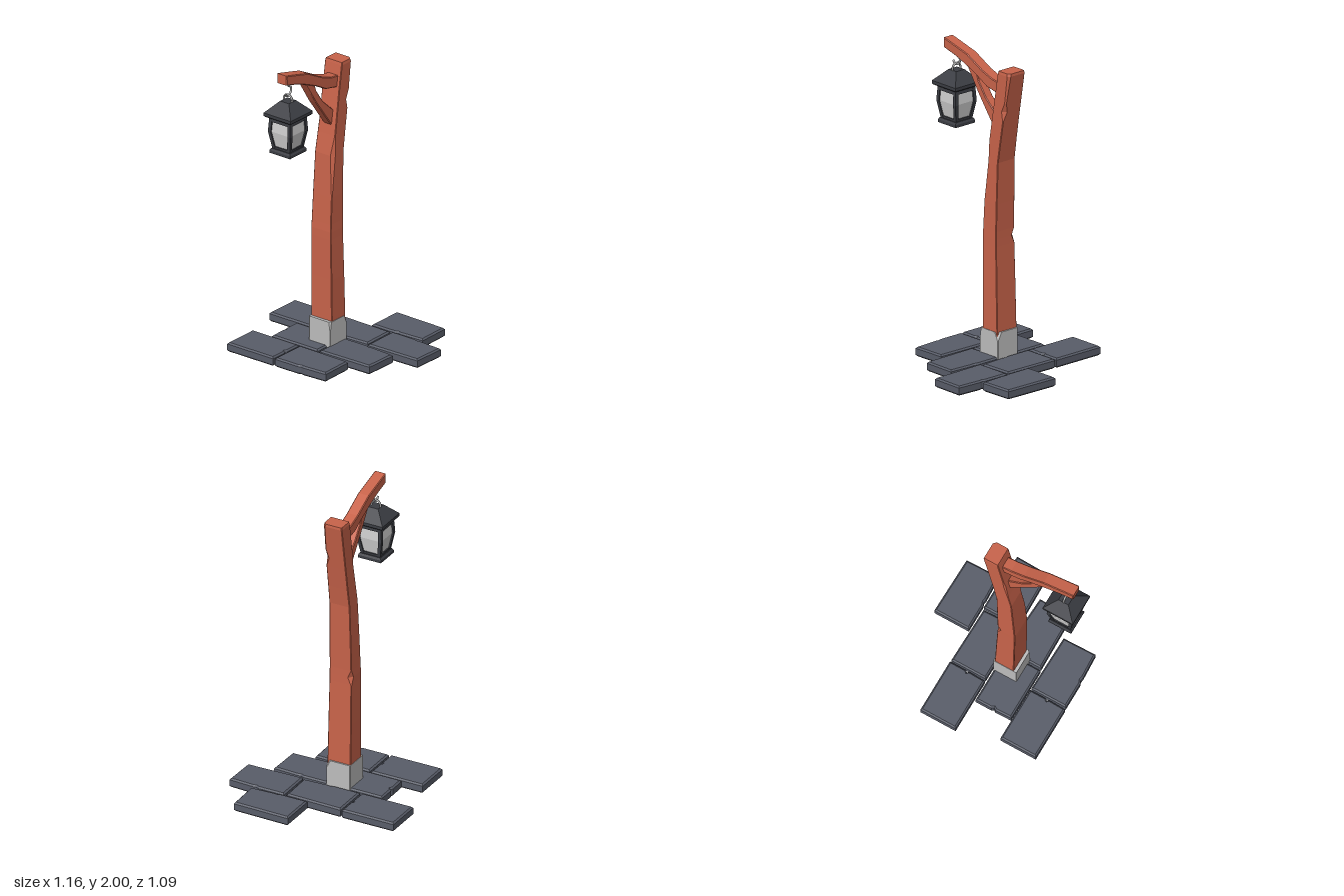
import * as THREE from 'three';

const mat = (name, color) => Object.assign(new THREE.MeshStandardMaterial({ color }), { name });
const wood = mat('wood', 0xc8634a);
const slate = mat('slate', 0x595d69);
const concrete = mat('concrete', 0xbdbdbd);
const iron = mat('darkIron', 0x3b3d43);
const glass = mat('glass', 0xd0d0d0);
const steel = mat('steel', 0xaaaaaa);

function add(parent, name, geometry, material) {
  const mesh = new THREE.Mesh(geometry, material);
  mesh.name = name;
  parent.add(mesh);
  return mesh;
}

// Flat-faced solid through convex rings, each counter-clockwise from above, bottom to top
function loft(rings) {
  const pos = [];
  const tri = (...pts) => pts.forEach((p) => pos.push(...p));
  const n = rings[0].length;
  for (let k = 0; k < rings.length - 1; k++) {
    for (let i = 0; i < n; i++) {
      const j = (i + 1) % n, lo = rings[k], hi = rings[k + 1];
      tri(lo[i], lo[j], hi[j]);
      tri(lo[i], hi[j], hi[i]);
    }
  }
  const top = rings[rings.length - 1], bottom = rings[0];
  for (let i = 1; i < n - 1; i++) {
    tri(top[0], top[i], top[i + 1]);
    tri(bottom[0], bottom[i + 1], bottom[i]);
  }
  const g = new THREE.BufferGeometry();
  g.setAttribute('position', new THREE.Float32BufferAttribute(pos, 3));
  g.computeVertexNormals();
  return g;
}

// Rectangle with chamfered corners: front +x, back +x, back -x, front -x
function section(y, x0, x1, zf, zb, [a, b, c, d]) {
  return [[x1 - a, y, zf], [x1, y, zf - a], [x1, y, zb + b], [x1 - b, y, zb],
    [x0 + c, y, zb], [x0, y, zb + c], [x0, y, zf - d], [x0 + d, y, zf]];
}

const square = (y, h, cx = 0, cz = 0) =>
  [[cx + h, y, cz + h], [cx + h, y, cz - h], [cx - h, y, cz - h], [cx - h, y, cz + h]];

// Solid of square levels [y, halfWidth]
const squares = (levels) => loft(levels.map(([y, h]) => square(y, h)));

// Bevelled slab from an outline of [u, v] points, inset so the bevel keeps the size
function slab(points, thickness, bevel) {
  const shape = new THREE.Shape(points.map(([u, v]) => new THREE.Vector2(u, v)));
  return new THREE.ExtrudeGeometry(shape, {
    depth: thickness - 2 * bevel, bevelEnabled: true, bevelSegments: 1,
    bevelSize: bevel, bevelThickness: bevel, bevelOffset: -bevel,
  }).translate(0, 0, bevel);
}

// Side outline in (z, y), spanning x0 to x1
const beam = (points, x0, x1) =>
  slab(points, x1 - x0, 0.005).rotateY(-Math.PI / 2).translate(x1, 0, 0);

function createPaving(parent) {
  const wide = [[0, 0], [0.385, 0.008], [0.39, 0.232], [0.22, 0.241], [0.2, 0.237], [0.18, 0.245], [0, 0.245]];
  const narrow = [[0, 0], [0.365, 0], [0.365, 0.112], [0.355, 0.125], [0.365, 0.14], [0.362, 0.25], [0, 0.25]];
  // [outline, x, z, flip x, flip z]
  const tiles = [
    [wide, 0.02, -0.545, 0, 0], [narrow, -0.585, -0.295, 0, 0],
    [wide, -0.21, -0.292, 0, 0], [wide, 0.19, -0.292, 0, 1],
    [narrow, -0.358, -0.033, 1, 0], [wide, 0.02, -0.032, 0, 1],
    [narrow, -0.5, 0.225, 0, 0], [wide, -0.125, 0.227, 0, 0],
  ];
  const paving = new THREE.Group();
  paving.name = 'paving';
  parent.add(paving);
  for (const [outline, x, z, fx, fz] of tiles) {
    const w = outline === wide ? 0.39 : 0.365, d = outline === wide ? 0.245 : 0.25;
    const pts = outline.map(([u, v]) => [x + (fx ? w - u : u), -(z + (fz ? d - v : v))]);
    add(paving, 'pavingStone', slab(pts, 0.062, 0.01).rotateX(-Math.PI / 2), slate);
  }
}

function createLantern() {
  const lantern = new THREE.Group();
  lantern.name = 'lantern';
  lantern.position.set(-0.053, 0, 0.434);
  add(lantern, 'lanternRoof', squares([[1.698, 0.1], [1.705, 0.107], [1.725, 0.107], [1.8, 0.035]]), iron);
  add(lantern, 'lanternTopRim', squares([[1.668, 0.083], [1.7, 0.08]]), iron);
  add(lantern, 'lanternBottomRim', squares([[1.48, 0.066], [1.502, 0.07]]), iron);
  add(lantern, 'lanternBase', squares([[1.455, 0.081], [1.473, 0.081], [1.486, 0.073]]), iron);
  add(lantern, 'lanternGlass', squares([[1.495, 0.061], [1.6, 0.079], [1.68, 0.074]]), glass);
  // Bent corner bars
  for (const sx of [-1, 1]) {
    for (const sz of [-1, 1]) {
      const bar = [[1.482, 0.057], [1.6, 0.077], [1.69, 0.071]]
        .map(([y, c]) => square(y, 0.011, sx * c, sz * c));
      add(lantern, 'lanternCornerBar', loft(bar), iron);
    }
  }
  // Ring on the roof and the open hook it hangs from
  add(lantern, 'lanternRing', new THREE.TorusGeometry(0.033, 0.007, 6, 16).translate(0, 1.808, 0), steel);
  const path = [[0, 1.925], [-0.004, 1.9], [-0.026, 1.885], [-0.03, 1.86], [-0.012, 1.836], [0.012, 1.834], [0.03, 1.852]]
    .map(([z, y]) => new THREE.Vector3(0, y, z));
  add(lantern, 'hook', new THREE.TubeGeometry(new THREE.CatmullRomCurve3(path), 20, 0.007, 6), steel);
  return lantern;
}

export function createModel() {
  const model = new THREE.Group();
  model.name = 'lampPost';
  createPaving(model);

  // Footing with one chipped back corner
  add(model, 'footing', loft([
    section(0.005, -0.135, 0.034, 0.127, -0.038, [0.004, 0.004, 0.004, 0.004]),
    section(0.17, -0.135, 0.034, 0.127, -0.038, [0.004, 0.004, 0.004, 0.004]),
    section(0.222, -0.135, 0.034, 0.127, -0.038, [0.012, 0.03, 0.004, 0.004]),
  ]), concrete);

  // Leaning post with worn and notched edges
  const e = 0.004;
  add(model, 'post', loft([
    [0.15, -0.133, 0.031, 0.106, -0.03, [e, e, e, e]],
    [0.5, -0.132, 0.029, 0.109, -0.02, [e, e, e, e]],
    [0.77, -0.13, 0.026, 0.112, -0.012, [e, e, e, e]],
    [0.82, -0.13, 0.026, 0.112, -0.011, [e, e, 0.026, e]],
    [0.87, -0.129, 0.025, 0.109, -0.011, [e, e, e, e]],
    [1.05, -0.127, 0.024, 0.099, -0.015, [e, e, e, e]],
    [1.32, -0.123, 0.021, 0.083, -0.022, [0.022, e, e, e]],
    [1.45, -0.121, 0.019, 0.06, -0.042, [e, e, e, e]],
    [1.6, -0.12, 0.017, 0.037, -0.066, [e, e, e, 0.01]],
    [1.66, -0.12, 0.016, 0.027, -0.076, [e, 0.025, e, e]],
    [1.72, -0.12, 0.015, 0.018, -0.086, [e, 0.008, e, e]],
    [1.9, -0.12, 0.014, -0.012, -0.116, [e, 0.016, e, e]],
    [1.917, -0.117, 0.011, -0.016, -0.114, [e, 0.018, e, e]],
  ].map((s) => section(...s))), wood);

  // Curved arm and the brace below it
  add(model, 'arm', beam([
    [0.502, 1.935], [0.502, 2.0], [0.46, 1.99], [0.29, 1.945], [0.15, 1.872], [0.06, 1.84], [-0.03, 1.828],
    [-0.03, 1.75], [0.015, 1.757], [0.115, 1.778], [0.21, 1.83], [0.305, 1.872], [0.4, 1.908],
  ], -0.086, -0.008), wood);
  add(model, 'brace', beam([
    [0.31, 1.885], [0.22, 1.865], [0.195, 1.79], [0.13, 1.7], [0.02, 1.6], [0.02, 1.48],
    [0.06, 1.525], [0.12, 1.605], [0.205, 1.72],
  ], -0.078, -0.018), wood);

  model.add(createLantern());
  return model;
}
